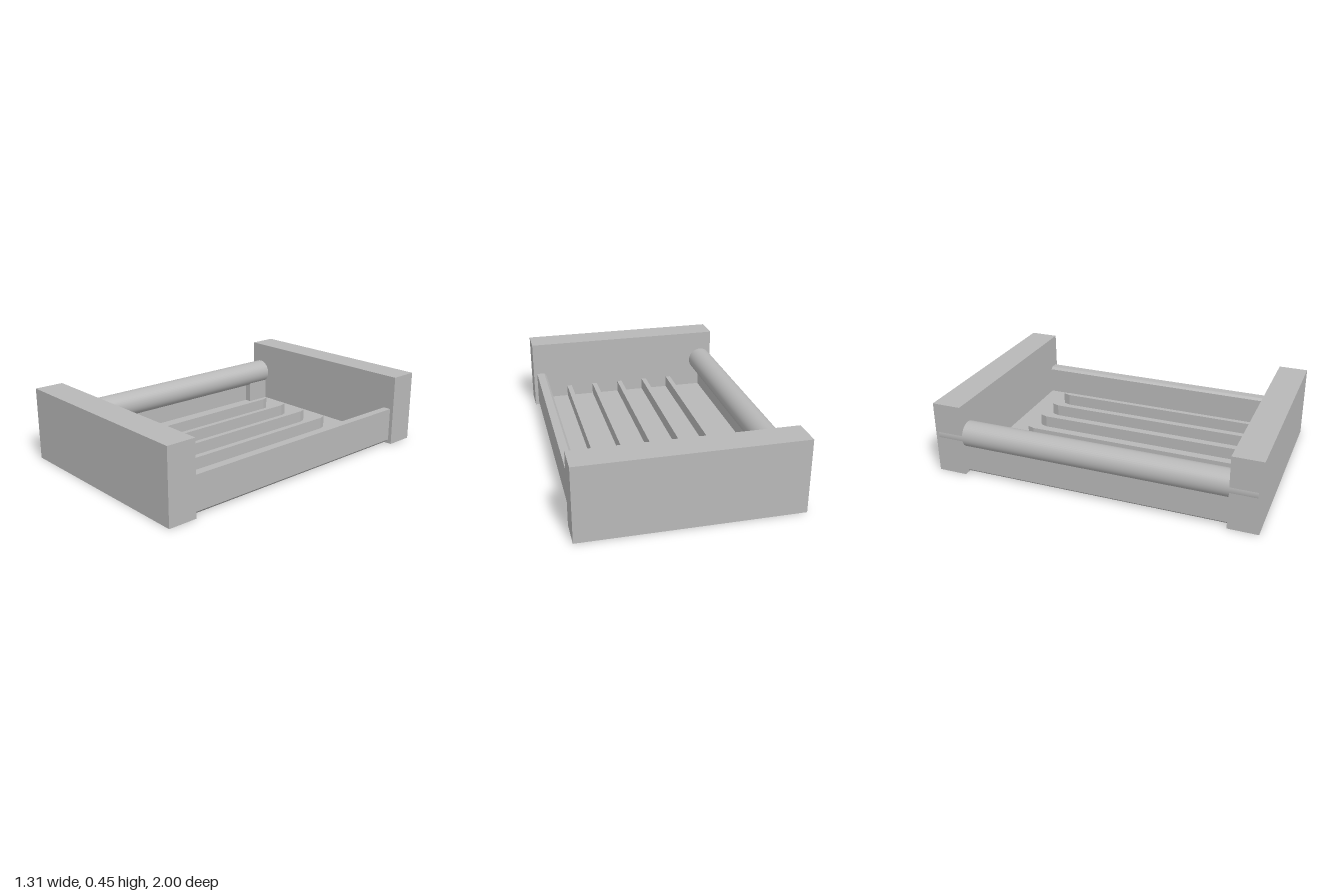
import * as THREE from 'three';
import { mergeGeometries } from 'three/addons/utils/BufferGeometryUtils.js';

const INNER = 0.82;      // z of the inner faces of the end walls
const FLOOR = 0.05;      // top of the floor
const RECESS = 0.03;     // depth of the recess under the floor

export function createModel() {
  const group = new THREE.Group();
  const grey = new THREE.MeshStandardMaterial({ color: 0xb8b8b8 });
  grey.name = 'plain grey';

  const add = (name, geometry) => {
    const mesh = new THREE.Mesh(geometry, grey);
    mesh.name = name;
    group.add(mesh);
    return mesh;
  };
  const box = (name, x0, x1, y0, y1, z0, z1) =>
    add(name, new THREE.BoxGeometry(x1 - x0, y1 - y0, z1 - z0))
      .position.set((x0 + x1) / 2, (y0 + y1) / 2, (z0 + z1) / 2);
  const outline = (points) => new THREE.Shape(points.map(([a, b]) => new THREE.Vector2(a, b)));
  // Plan shape (x, z) raised from y0 to y1
  const slab = (shape, y0, y1) =>
    new THREE.ExtrudeGeometry(shape, { depth: y1 - y0, bevelEnabled: false })
      .rotateX(Math.PI / 2).translate(0, y1, 0);

  // Tall end walls
  box('frontWall', -0.653, 0.653, 0, 0.45, INNER, 1);
  box('backWall', -0.653, 0.653, 0, 0.45, -1, -INNER);

  // Low side walls, with a bevel under the outer edge and along the inner top edge
  const profile = [[0.565, 0], [0.6, 0], [0.63, 0.025], [0.63, 0.235], [0.58, 0.235], [0.565, 0.22]];
  for (const [side, name] of [[1, 'leftSideWall'], [-1, 'rightSideWall']]) {
    const shape = outline(profile.map(([x, y]) => [x * side, y]));
    add(name, new THREE.ExtrudeGeometry(shape, { depth: 2 * INNER, bevelEnabled: false })
      .translate(0, 0, -INNER));
  }

  // Floor, its lower layer cut by a recess with clipped corners
  box('floor', -0.565, 0.565, RECESS, FLOOR, -INNER, INNER);
  const [rx0, rx1, rz0, rz1, clip] = [-0.13, 0.47, -0.79, 0.55, 0.06];
  const underside = outline([[-0.565, -INNER], [0.565, -INNER], [0.565, INNER], [-0.565, INNER]]);
  underside.holes.push(outline([
    [rx0 + clip, rz0], [rx1 - clip, rz0], [rx1, rz0 + clip], [rx1, rz1 - clip],
    [rx1 - clip, rz1], [rx0 + clip, rz1], [rx0, rz1 - clip], [rx0, rz0 + clip],
  ]));
  add('undersideFrame', slab(underside, 0, RECESS));

  // Staggered grip studs in the recess
  const studs = [];
  const pitch = 0.038;
  for (let row = 0, z = rz0 + 0.025; z < rz1 - 0.015; z += pitch, row++) {
    for (let x = rx0 + 0.025 + (row % 2) * pitch / 2; x < rx1 - 0.015; x += pitch) {
      const dx = Math.min(x - rx0, rx1 - x), dz = Math.min(z - rz0, rz1 - z);
      if (dx + dz < clip + 0.02) continue;
      studs.push(new THREE.CylinderGeometry(0.013, 0.009, 0.022, 6)
        .translate(x, RECESS - 0.011, z));
    }
  }
  add('gripStuds', mergeGeometries(studs));

  // Upright ribs on the floor, pointed at the back
  for (let i = 0; i < 5; i++) {
    const x = -0.333 + i * 0.184, w = 0.016;
    const rib = outline([[x - w, INNER], [x - w, -0.6], [x, -0.645], [x + w, -0.6], [x + w, INNER]]);
    add('rib' + (i + 1), slab(rib, FLOOR, 0.125));
  }

  // Round rail on the right side wall, with a post at its back end
  add('roundRail', new THREE.CylinderGeometry(0.08, 0.08, 1.96, 48).rotateX(Math.PI / 2))
    .position.set(-0.575, 0.245, 0);
  box('railPost', -0.57, -0.52, FLOOR, 0.22, -INNER, -0.66);

  return group;
}
